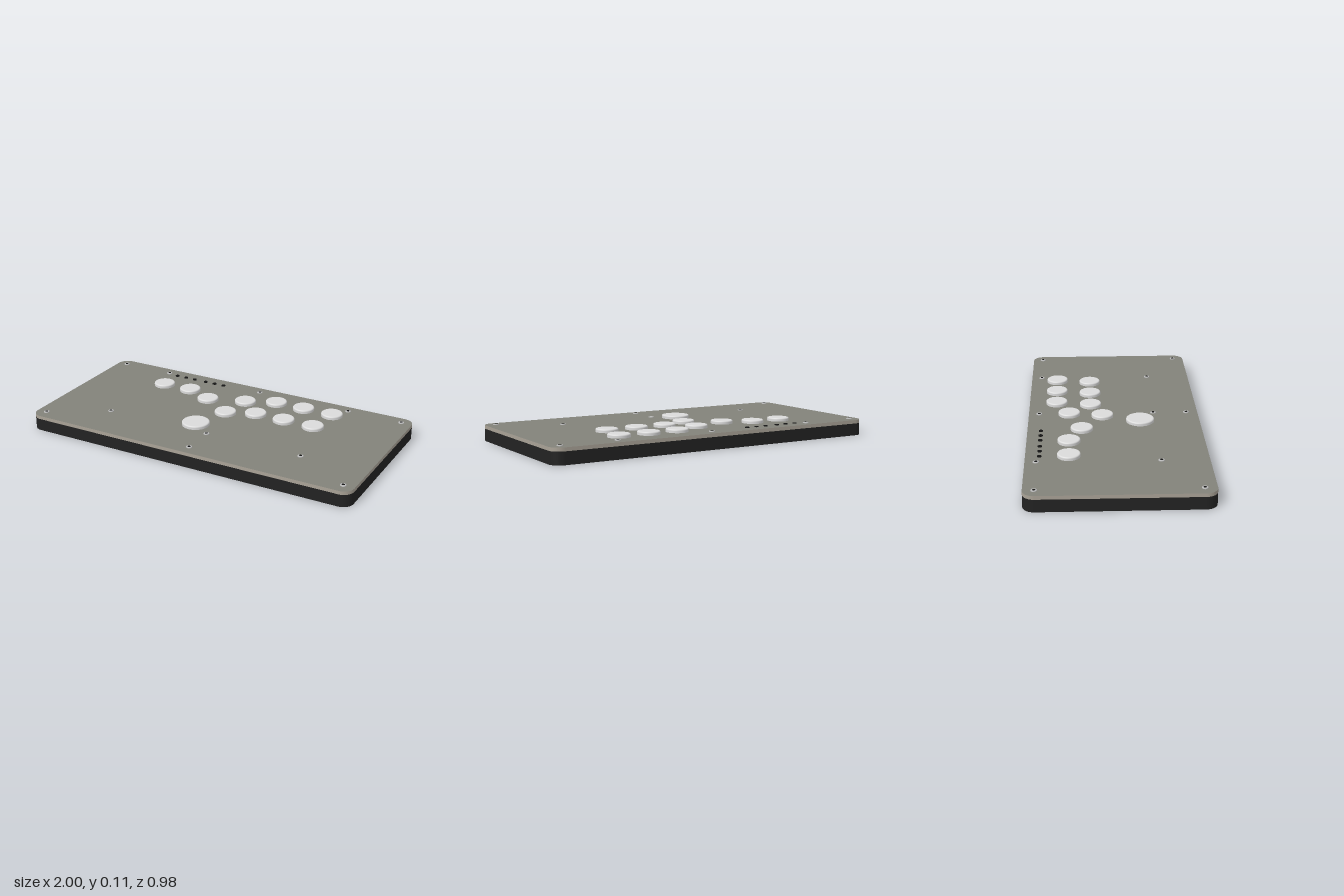
import * as THREE from 'three';

const mat = (name, color) => {
  const m = new THREE.MeshStandardMaterial({ color });
  m.name = name;
  return m;
};

// Rounded rectangle lying flat, extruded upward from y0 to y1
function slab(w, d, r, y0, y1) {
  const x = w / 2, z = d / 2;
  const s = new THREE.Shape();
  s.moveTo(-x + r, -z);
  s.lineTo(x - r, -z);
  s.absarc(x - r, -z + r, r, -Math.PI / 2, 0, false);
  s.lineTo(x, z - r);
  s.absarc(x - r, z - r, r, 0, Math.PI / 2, false);
  s.lineTo(-x + r, z);
  s.absarc(-x + r, z - r, r, Math.PI / 2, Math.PI, false);
  s.lineTo(-x, -z + r);
  s.absarc(-x + r, -z + r, r, Math.PI, Math.PI * 1.5, false);
  const g = new THREE.ExtrudeGeometry(s, { depth: y1 - y0, bevelEnabled: false, curveSegments: 12 });
  return g.rotateX(-Math.PI / 2).translate(0, y0, 0);
}

// Flat-topped cap with a softly rounded rim
function capGeometry(r, h, round, segments) {
  const pts = [new THREE.Vector2(r, 0)];
  for (let i = 0; i <= 5; i++) {
    const a = (i / 5) * Math.PI / 2;
    pts.push(new THREE.Vector2(r - round + round * Math.cos(a), h - round + round * Math.sin(a)));
  }
  pts.push(new THREE.Vector2(r - round - 0.002, h), new THREE.Vector2(0, h));
  return new THREE.LatheGeometry(pts, segments);
}

export function createModel() {
  const model = new THREE.Group();
  model.name = 'buttonController';

  const black = mat('caseBlack', 0x222222);
  const grey = mat('plateGrey', 0x82827a);
  const edge = mat('plateEdge', 0xa9a296);
  const white = mat('buttonWhite', 0xdadada);
  const steel = mat('screwSteel', 0xb8b8b8);
  const dark = mat('socketBlack', 0x141414);

  const TOP = 0.09;
  const add = (parent, name, geometry, material, x = 0, y = 0, z = 0) => {
    const m = new THREE.Mesh(geometry, material);
    m.name = name;
    m.position.set(x, y, z);
    parent.add(m);
    return m;
  };
  const group = (name) => {
    const g = new THREE.Group();
    g.name = name;
    model.add(g);
    return g;
  };

  // Case and top plate
  add(model, 'case', slab(2, 0.98, 0.063, 0, 0.07), black);
  add(model, 'topPlate', slab(2, 0.98, 0.063, 0.07, TOP), [grey, edge]);

  // Main buttons
  const buttons = group('buttons');
  const small = capGeometry(0.063, 0.02, 0.008, 40);
  [
    [-0.545, -0.257], [-0.362, -0.257], [-0.197, -0.185],
    [0.02, -0.256], [0.19, -0.33], [0.368, -0.33], [0.549, -0.33],
    [-0.012, -0.065], [0.153, -0.131], [0.333, -0.131], [0.517, -0.131],
  ].forEach(([x, z]) => add(buttons, 'button', small, white, x, TOP, z));
  add(buttons, 'thumbButton', capGeometry(0.08, 0.02, 0.008, 48), white, -0.088, TOP, 0.149);

  // Row of small option buttons
  const options = group('optionButtons');
  const option = new THREE.CylinderGeometry(0.012, 0.012, 0.005, 20);
  [-0.547, -0.483, -0.421, -0.342, -0.279, -0.216]
    .forEach((x) => add(options, 'optionButton', option, dark, x, TOP + 0.0025, -0.414));

  // Screws with hex sockets
  const screws = group('screws');
  const head = capGeometry(0.017, 0.005, 0.003, 20);
  const socket = new THREE.CylinderGeometry(0.009, 0.009, 0.001, 6);
  [
    [-0.939, -0.43], [-0.615, -0.43], [0.029, -0.43], [0.609, -0.43], [0.937, -0.43],
    [-0.615, 0.232], [0.029, 0.232], [0.609, 0.232],
    [-0.939, 0.424], [0.029, 0.424], [0.937, 0.424],
  ].forEach(([x, z]) => {
    add(screws, 'screwHead', head, steel, x, TOP, z);
    add(screws, 'screwSocket', socket, dark, x, TOP + 0.005, z);
  });

  return model;
}
